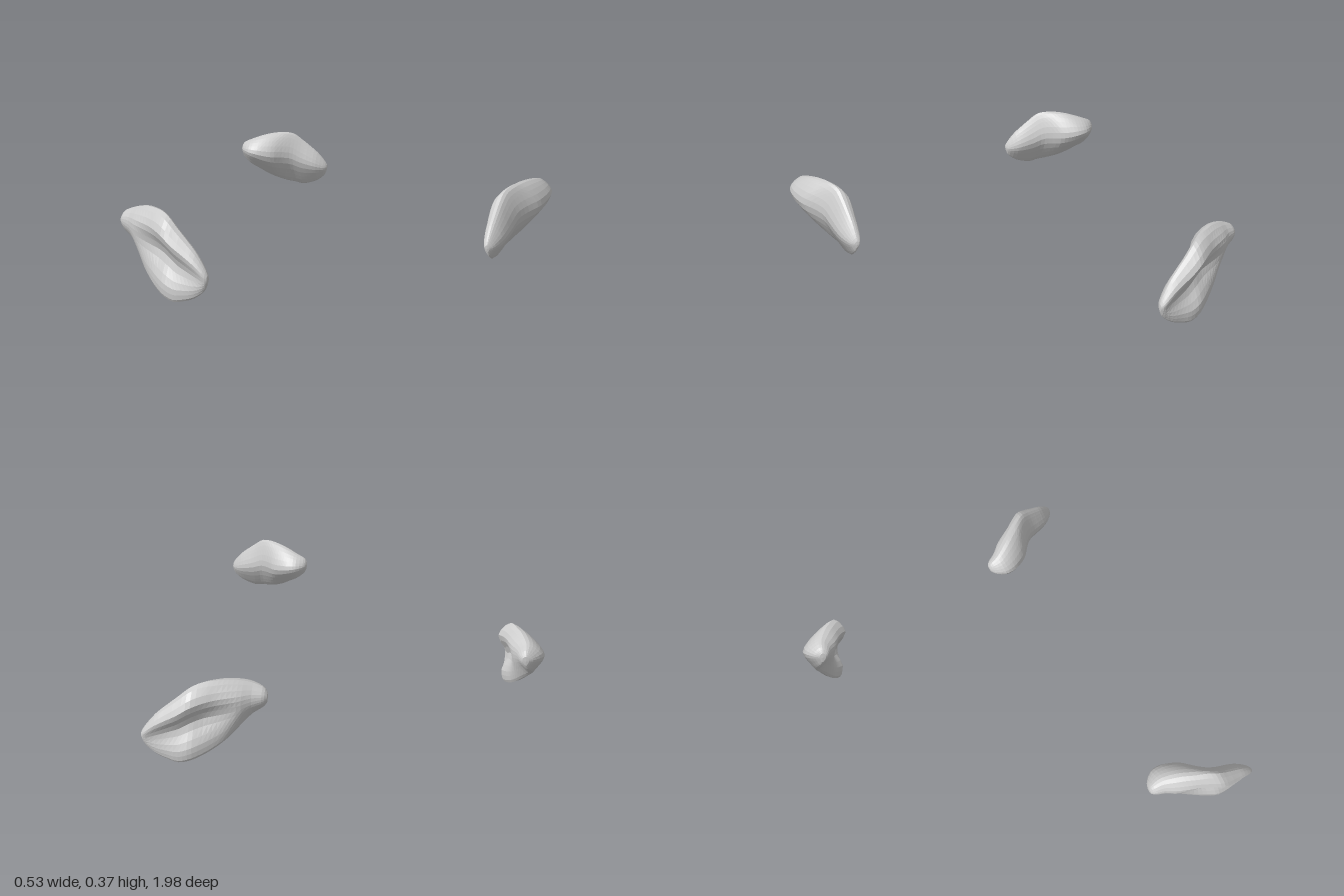
import * as THREE from 'three';

// Cross-sections along x: x, top y, bottom y, inner z, outer z, top z, bottom z, groove depth
const SECTIONS = [
  [-0.264, 0.285, 0.235, 0.75, 0.785, 0.765, 0.768, 0],
  [-0.25, 0.306, 0.208, 0.725, 0.80, 0.765, 0.762, 0],
  [-0.2, 0.331, 0.165, 0.69, 0.825, 0.77, 0.762, 0],
  [-0.15, 0.35, 0.122, 0.688, 0.865, 0.79, 0.81, 0.005],
  [-0.1, 0.364, 0.078, 0.705, 0.893, 0.815, 0.86, 0.02],
  [-0.05, 0.371, 0.046, 0.735, 0.917, 0.845, 0.90, 0.035],
  [0, 0.372, 0.024, 0.79, 0.95, 0.87, 0.935, 0.055],
  [0.05, 0.359, 0.01, 0.835, 0.98, 0.90, 0.965, 0.06],
  [0.1, 0.32, 0.0, 0.86, 0.99, 0.92, 0.975, 0.05],
  [0.15, 0.279, 0.013, 0.878, 0.992, 0.935, 0.975, 0.035],
  [0.2, 0.235, 0.035, 0.90, 0.995, 0.95, 0.975, 0.02],
  [0.25, 0.172, 0.08, 0.94, 0.993, 0.967, 0.972, 0.003],
  [0.262, 0.15, 0.11, 0.96, 0.985, 0.972, 0.972, 0],
];
const RINGS = 30;
const SIDES = 24;

const lerp = THREE.MathUtils.lerp;

// Eight control points round one section: crown, outer ridge, groove, lower lip, keel, inner side
function sectionPoints([x, yt, yb, zi, zo, zt, zb, groove]) {
  const p = (f, z) => new THREE.Vector3(x, lerp(yb, yt, f), z);
  return [
    p(1, zt),
    p(0.8, lerp(zt, zo, 0.88)),
    p(0.5, zo - groove),
    p(0.2, lerp(zo, zb, 0.4)),
    p(0, zb),
    p(0.2, lerp(zi, zb, 0.5)),
    p(0.55, zi),
    p(0.85, lerp(zi, zt, 0.4)),
  ];
}

// Smooth closed skin over the sections; side = -1 mirrors it in z
function lobeGeometry(side) {
  const sections = SECTIONS.map(sectionPoints);
  const rails = sections[0].map((_, k) => new THREE.CatmullRomCurve3(sections.map((s) => s[k])));
  const positions = [];
  const index = [];
  const add = (v) => positions.push(v.x, v.y, v.z * side);
  const tri = (a, b, c) => (side > 0 ? index.push(a, b, c) : index.push(a, c, b));

  for (let i = 0; i <= RINGS; i++) {
    // Rings gather towards the rounded ends
    const t = i / RINGS;
    const ring = new THREE.CatmullRomCurve3(rails.map((r) => r.getPoint(t)), true);
    for (let j = 0; j < SIDES; j++) add(ring.getPoint(j / SIDES));
  }
  for (let i = 0; i < RINGS; i++) {
    for (let j = 0; j < SIDES; j++) {
      const k = (j + 1) % SIDES;
      const a = i * SIDES + j, b = i * SIDES + k;
      tri(a, b, b + SIDES);
      tri(a, b + SIDES, a + SIDES);
    }
  }

  // End caps
  const start = (RINGS + 1) * SIDES;
  add(new THREE.Vector3(-0.266, 0.26, 0.767));
  add(new THREE.Vector3(0.264, 0.13, 0.973));
  for (let j = 0; j < SIDES; j++) {
    const k = (j + 1) % SIDES;
    tri(start, k, j);
    tri(start + 1, RINGS * SIDES + j, RINGS * SIDES + k);
  }

  const geometry = new THREE.BufferGeometry();
  geometry.setAttribute('position', new THREE.Float32BufferAttribute(positions, 3));
  geometry.setIndex(index);
  geometry.computeVertexNormals();
  return geometry;
}

export function createModel() {
  const group = new THREE.Group();
  group.name = 'lobePair';
  const material = new THREE.MeshStandardMaterial({ color: 0xcccccc, flatShading: true });
  for (const [name, side] of [['frontLobe', 1], ['backLobe', -1]]) {
    const lobe = new THREE.Mesh(lobeGeometry(side), material);
    lobe.name = name;
    group.add(lobe);
  }
  return group;
}
